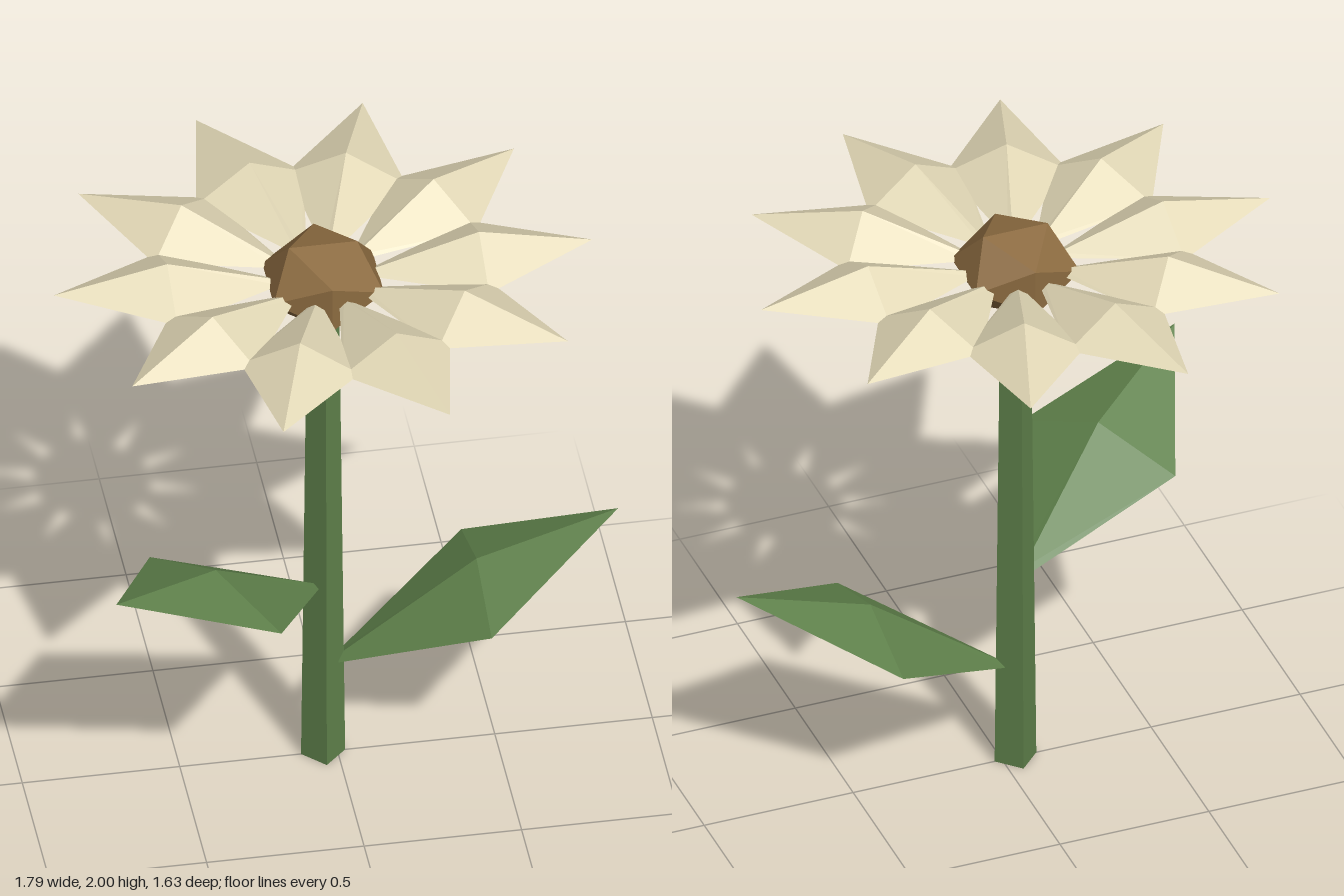
import * as THREE from 'three';

const petalCream = new THREE.MeshStandardMaterial({ color: 0xe2d8b6, side: THREE.DoubleSide, flatShading: true });
petalCream.name = 'petalCream';
const seedBrown = new THREE.MeshStandardMaterial({ color: 0x8c6b40, flatShading: true });
seedBrown.name = 'seedBrown';
const plantGreen = new THREE.MeshStandardMaterial({ color: 0x5f814b, side: THREE.DoubleSide, flatShading: true });
plantGreen.name = 'plantGreen';

// Folded blade along +x: a narrow base, a wide raised middle and a pointed tip.
// Each section is { x, y, w, lift }: edge height y, half width w, ridge height above the edges.
function bladeGeometry(sections) {
  const rows = sections.map(({ x, y, w, lift }) => [[x, y, w], [x, y + lift, 0], [x, y, -w]]);
  const points = [];
  for (let i = 0; i < rows.length - 1; i++) {
    for (let j = 0; j < 2; j++) {
      const a = rows[i][j], b = rows[i + 1][j], c = rows[i + 1][j + 1], d = rows[i][j + 1];
      // the last strip closes to the tip, so it needs one triangle per side
      points.push(...a, ...b, ...d);
      if (sections[i + 1].w > 0) points.push(...b, ...c, ...d);
    }
  }
  const geometry = new THREE.BufferGeometry();
  geometry.setAttribute('position', new THREE.Float32BufferAttribute(points, 3));
  geometry.computeVertexNormals();
  return geometry;
}

function addMesh(parent, name, geometry, material) {
  const mesh = new THREE.Mesh(geometry, material);
  mesh.name = name;
  parent.add(mesh);
  return mesh;
}

export function createModel() {
  const flower = new THREE.Group();
  flower.name = 'flower';
  flower.position.x = -0.045;

  // Four-sided tapering stem
  const stem = addMesh(flower, 'stem', new THREE.CylinderGeometry(0.05, 0.07, 1.86, 4), plantGreen);
  stem.position.y = 0.93;

  // Faceted, slightly flattened seed head
  const head = addMesh(flower, 'seedHead', new THREE.IcosahedronGeometry(0.206, 0), seedBrown);
  head.scale.y = 0.745;
  head.position.y = 1.87;

  // Ring of ten overlapping petals
  const petals = new THREE.Group();
  petals.name = 'petals';
  flower.add(petals);
  const petalGeometry = bladeGeometry([
    { x: 0.14, y: 1.87, w: 0.016, lift: 0.01 },
    { x: 0.495, y: 1.887, w: 0.189, lift: 0.1 },
    { x: 0.855, y: 1.91, w: 0, lift: 0 },
  ]);
  for (let i = 0; i < 10; i++) {
    addMesh(petals, 'petal', petalGeometry, petalCream).rotation.y = (i / 10) * Math.PI * 2;
  }

  // Two leaves at different heights: [name, base height, tip height, turn]
  for (const [name, low, high, turn] of [
    ['leftLeaf', 0.365, 0.84, 0],
    ['rightLeaf', 0.68, 1.1, Math.PI + 0.64],
  ]) {
    const leaf = addMesh(flower, name, bladeGeometry([
      { x: 0.045, y: low, w: 0.025, lift: 0.01 },
      { x: 0.487, y: (low + high) / 2 - 0.003, w: 0.285, lift: 0.1 },
      { x: 0.937, y: high, w: 0, lift: 0 },
    ]), plantGreen);
    leaf.rotation.y = turn;
  }

  const model = new THREE.Group();
  model.name = 'model';
  model.add(flower);
  return model;
}
